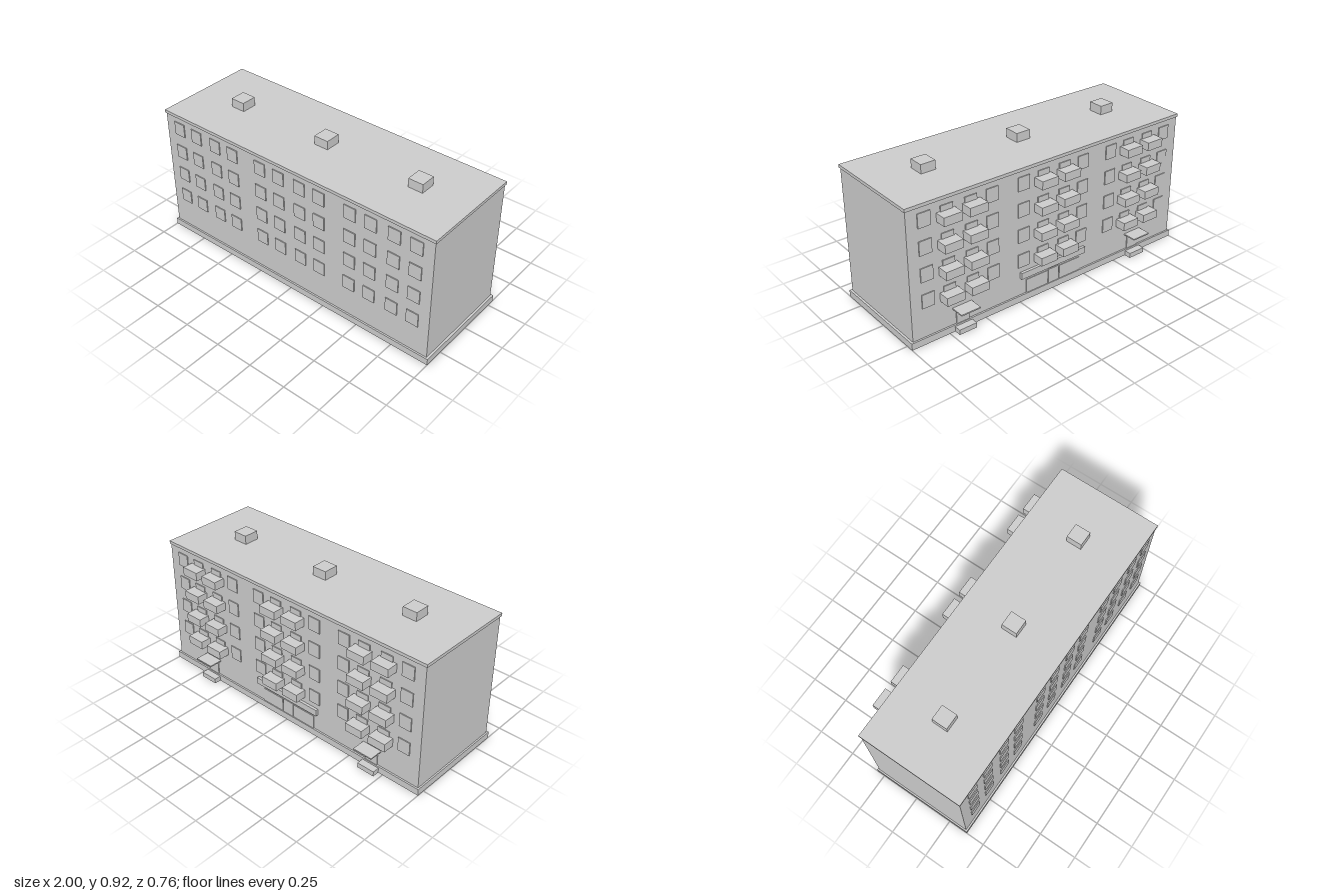
import * as THREE from 'three';

export function createModel() {
  const model = new THREE.Group();
  model.name = 'apartmentBlock';
  const concrete = new THREE.MeshStandardMaterial({ color: 0xcccccc });
  concrete.name = 'light grey concrete';

  // Adds a box spanning the given ranges
  function box(name, x0, x1, y0, y1, z0, z1) {
    const mesh = new THREE.Mesh(new THREE.BoxGeometry(x1 - x0, y1 - y0, z1 - z0), concrete);
    mesh.position.set((x0 + x1) / 2, (y0 + y1) / 2, (z0 + z1) / 2);
    mesh.name = name;
    model.add(mesh);
    return mesh;
  }
  // Same, given a centre and width in x
  const boxAt = (name, x, w, ...rest) => box(name, x - w / 2, x + w / 2, ...rest);

  const front = 0.368, back = -0.289;

  // Main masses
  box('plinth', -1, 1, 0, 0.043, -0.3, 0.379);
  box('walls', -0.99, 0.986, 0.043, 0.848, back, front);
  box('roofSlab', -0.996, 0.992, 0.848, 0.868, -0.295, 0.374);

  const sections = [-0.66, -0.002, 0.656];
  const floors = [0.232, 0.397, 0.562, 0.727];

  for (const cx of sections) {
    boxAt('roofVent', cx, 0.096, 0.868, 0.924, -0.012, 0.087);

    for (const y of floors) {
      // Four windows per floor on both long sides
      for (const dx of [-0.22, -0.078, 0.078, 0.22]) {
        boxAt('frontWindow', cx + dx, 0.08, y, y + 0.087, front, front + 0.006);
        boxAt('backWindow', cx + dx, 0.08, y, y + 0.087, back - 0.006, back);
      }
      // Paired balconies on the back
      for (const s of [-1, 1]) {
        boxAt('balcony', cx + s * 0.083, 0.118, y, y + 0.053, -0.361, back);
      }
    }
  }

  // Side entrances
  for (const cx of [sections[0], sections[2]]) {
    boxAt('entranceDoor', cx, 0.085, 0.043, 0.138, back - 0.006, back);
    boxAt('entranceCanopy', cx, 0.13, 0.145, 0.153, -0.377, back);
    boxAt('entranceStep', cx, 0.118, 0, 0.032, -0.344, -0.3);
  }

  // Central shop front
  const shop = sections[1] - 0.006;
  boxAt('shopDoor', shop, 0.08, 0.043, 0.138, back - 0.006, back);
  for (const s of [-1, 1]) {
    boxAt('shopWindow', shop + s * 0.126, 0.16, 0.043, 0.133, back - 0.005, back);
  }
  boxAt('shopFascia', sections[1], 0.488, 0.155, 0.197, -0.306, back);

  return model;
}
